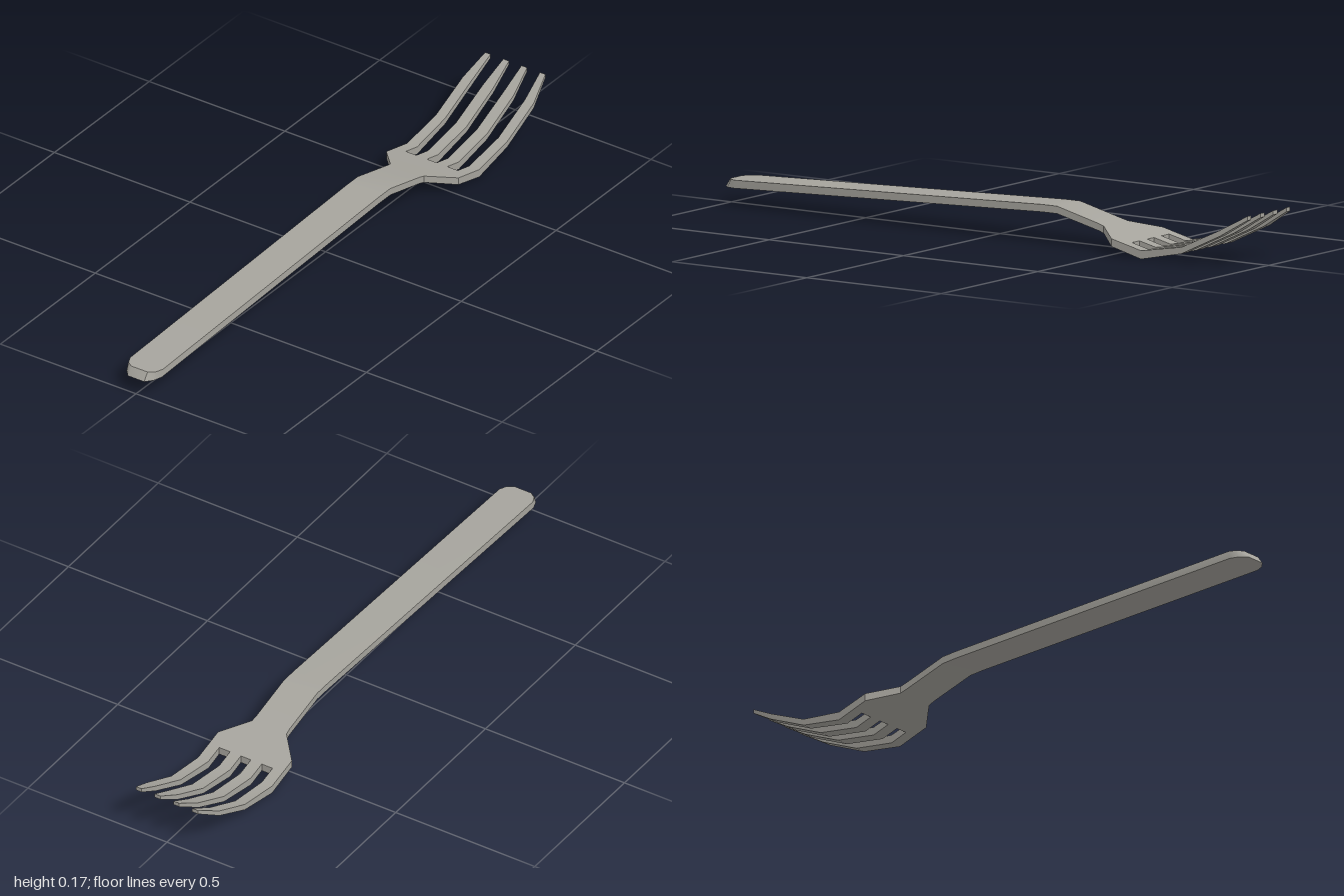
import * as THREE from 'three';
import { toCreasedNormals } from 'three/addons/utils/BufferGeometryUtils.js';

// side profile of the bent sheet: [z, top y, bottom y], handle end to tine tips
const PROFILE = [
  [1, 0.078, 0.053], [-0.2, 0.117, 0.094], [-0.255, 0.117, 0.094], [-0.41, 0.079, 0.057],
  [-0.51, 0.052, 0.028], [-0.62, 0.026, 0], [-0.77, 0.051, 0.031],
  [-0.91, 0.115, 0.097], [-1, 0.165, 0.152],
];

function heights(z) {
  let i = 0;
  while (i < PROFILE.length - 2 && z < PROFILE[i + 1][0]) i++;
  const a = PROFILE[i], b = PROFILE[i + 1];
  const t = (z - a[0]) / (b[0] - a[0]);
  return [a[1] + (b[1] - a[1]) * t, a[2] + (b[2] - a[2]) * t];
}

// closed strip through sections [z, left x, right x, optional bottom z]
function strip(sections) {
  const rings = sections.map(([z, l, r, zb = z]) => {
    const top = heights(z)[0], bottom = heights(zb)[1];
    return [[l, top, z], [r, top, z], [r, bottom, zb], [l, bottom, zb]];
  });
  const pos = [];
  const quad = (a, b, c, d) => pos.push(...a, ...b, ...c, ...a, ...c, ...d);
  for (let i = 0; i < rings.length - 1; i++) {
    const p = rings[i], q = rings[i + 1];
    for (let k = 0; k < 4; k++) {
      const n = (k + 1) % 4;
      quad(p[k], p[n], q[n], q[k]);
    }
  }
  const f = rings[0], e = rings[rings.length - 1];
  quad(f[0], f[3], f[2], f[1]);
  quad(e[0], e[1], e[2], e[3]);
  const geometry = new THREE.BufferGeometry();
  geometry.setAttribute('position', new THREE.Float32BufferAttribute(pos, 3));
  return toCreasedNormals(geometry, Math.PI / 6);
}

export function createModel() {
  const group = new THREE.Group();
  group.name = 'fork';
  const steel = new THREE.MeshStandardMaterial({ color: 0xa6a49d });
  steel.name = 'warm grey steel';
  const add = (name, sections) => {
    const mesh = new THREE.Mesh(strip(sections), steel);
    mesh.name = name;
    group.add(mesh);
  };

  // handle with rounded end, flaring into the head
  const body = [
    [0.982, 0.03, 1], [0.968, 0.05, 0.978], [0.945, 0.06, 0.95], [-0.2, 0.06],
    [-0.255, 0.06], [-0.41, 0.06], [-0.43, 0.062], [-0.51, 0.133], [-0.56, 0.133],
  ];
  add('handleAndHead', body.map(([z, w, zb]) => [z, -w, w, zb]));

  // four tapering tines, mirrored in pairs: [z, inner x, outer x]
  const outer = [[-0.56, 0.096, 0.133], [-0.62, 0.096, 0.133], [-0.77, 0.098, 0.132],
    [-0.91, 0.098, 0.131], [-1, 0.091, 0.111]];
  const inner = [[-0.56, 0.018, 0.057], [-0.62, 0.018, 0.057], [-0.77, 0.018, 0.057],
    [-0.91, 0.019, 0.056], [-1, 0.023, 0.044]];
  for (const [name, rows] of [['OuterTine', outer], ['InnerTine', inner]]) {
    add('left' + name, rows);
    add('right' + name, rows.map(([z, a, b]) => [z, -b, -a]));
  }
  return group;
}
